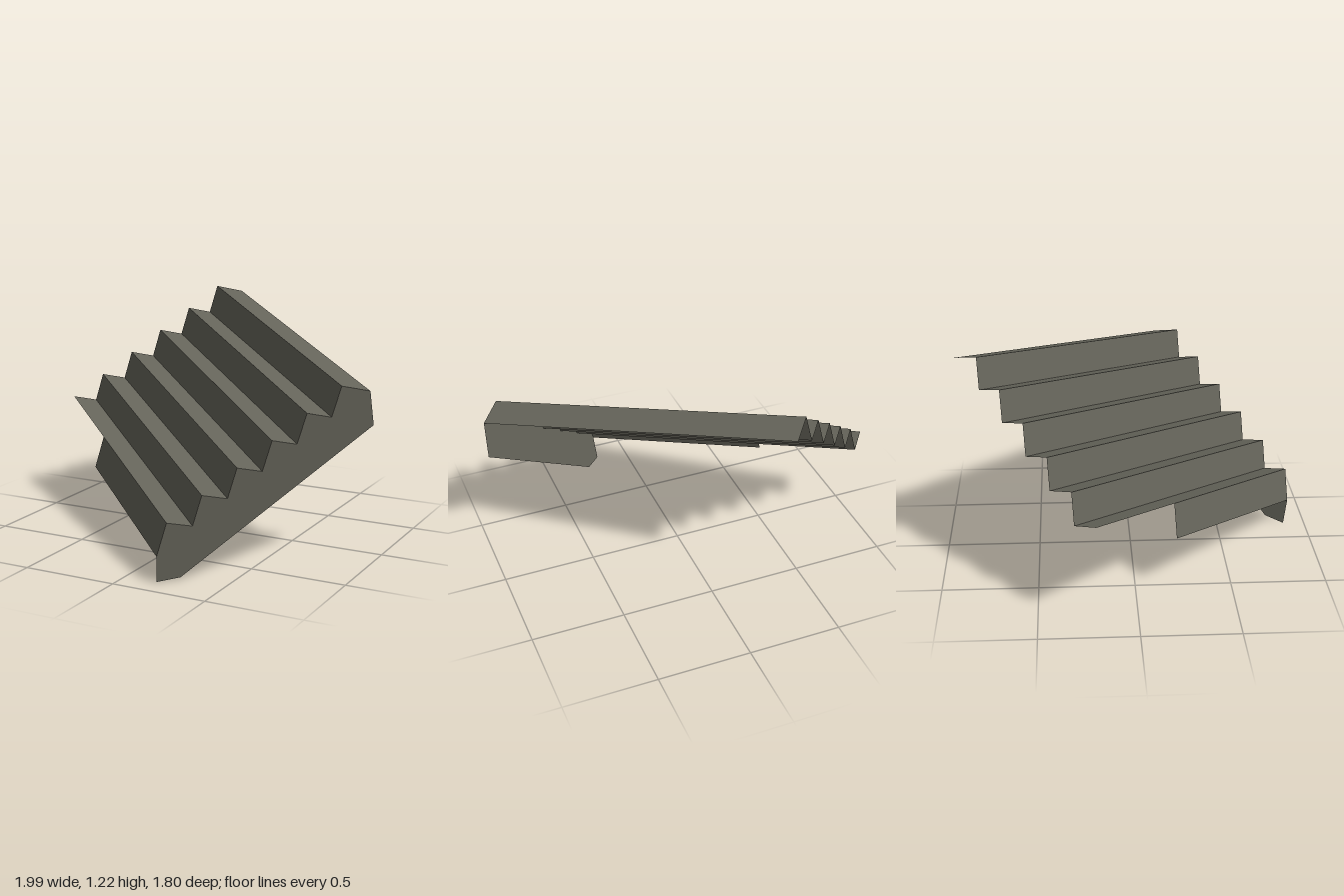
import * as THREE from 'three';

export function createModel() {
  const group = new THREE.Group();
  group.name = 'brokenStairs';
  const stone = new THREE.MeshStandardMaterial({ color: 0x66655b, side: THREE.DoubleSide, flatShading: true });
  stone.name = 'greyStone';

  // Local frame: x towards the front of a tread, y up a riser, z along a step
  const run = 0.1375, rise = 0.1625, length = 1.678, steps = 6;
  const stairs = new THREE.Group();
  stairs.name = 'tiltedFlight';
  group.add(stairs);

  const add = (geometry, name) => {
    const mesh = new THREE.Mesh(geometry, stone);
    mesh.name = name;
    stairs.add(mesh);
  };

  // Flat strip between two profile points, drawn out along the step
  const strip = (a, b, depth, name) => {
    const g = new THREE.BufferGeometry();
    g.setAttribute('position', new THREE.Float32BufferAttribute(
      [...a, 0, ...b, 0, ...b, depth, ...a, depth], 3));
    g.setIndex([0, 1, 2, 0, 2, 3]);
    g.computeVertexNormals();
    add(g, name);
  };

  // Step profile from the foot of the lowest riser to the back of the top tread
  const profile = [[0, -0.18]];
  for (let i = 0; i < steps; i++) {
    profile.push([-i * run, i * rise]);
    profile.push([i < steps - 1 ? -(i + 1) * run : -0.85, i * rise]);
  }

  // Risers and treads; the lowest riser is broken off short
  for (let i = 0; i < profile.length - 1; i++) {
    strip(profile[i], profile[i + 1], i === 0 ? length * 0.633 : length, i % 2 ? 'tread' : 'riser');
  }

  // Single side wall following the steps
  const outline = [...profile, [-0.931, 0.644], [-0.156, -0.276], [-0.038, -0.314]];
  add(new THREE.ShapeGeometry(new THREE.Shape(outline.map(([x, y]) => new THREE.Vector2(x, y)))), 'sideWall');

  // Tip the flight into its fallen pose
  const along = new THREE.Vector3(-1.235, 0.285, -1.1).normalize();
  const front = new THREE.Vector3(0.278, 0.9585, -0.062).cross(along).normalize();
  const up = along.clone().cross(front);
  stairs.quaternion.setFromRotationMatrix(new THREE.Matrix4().makeBasis(front, up, along));
  stairs.position.set(0.238, 0.311, 0.891);
  return group;
}
